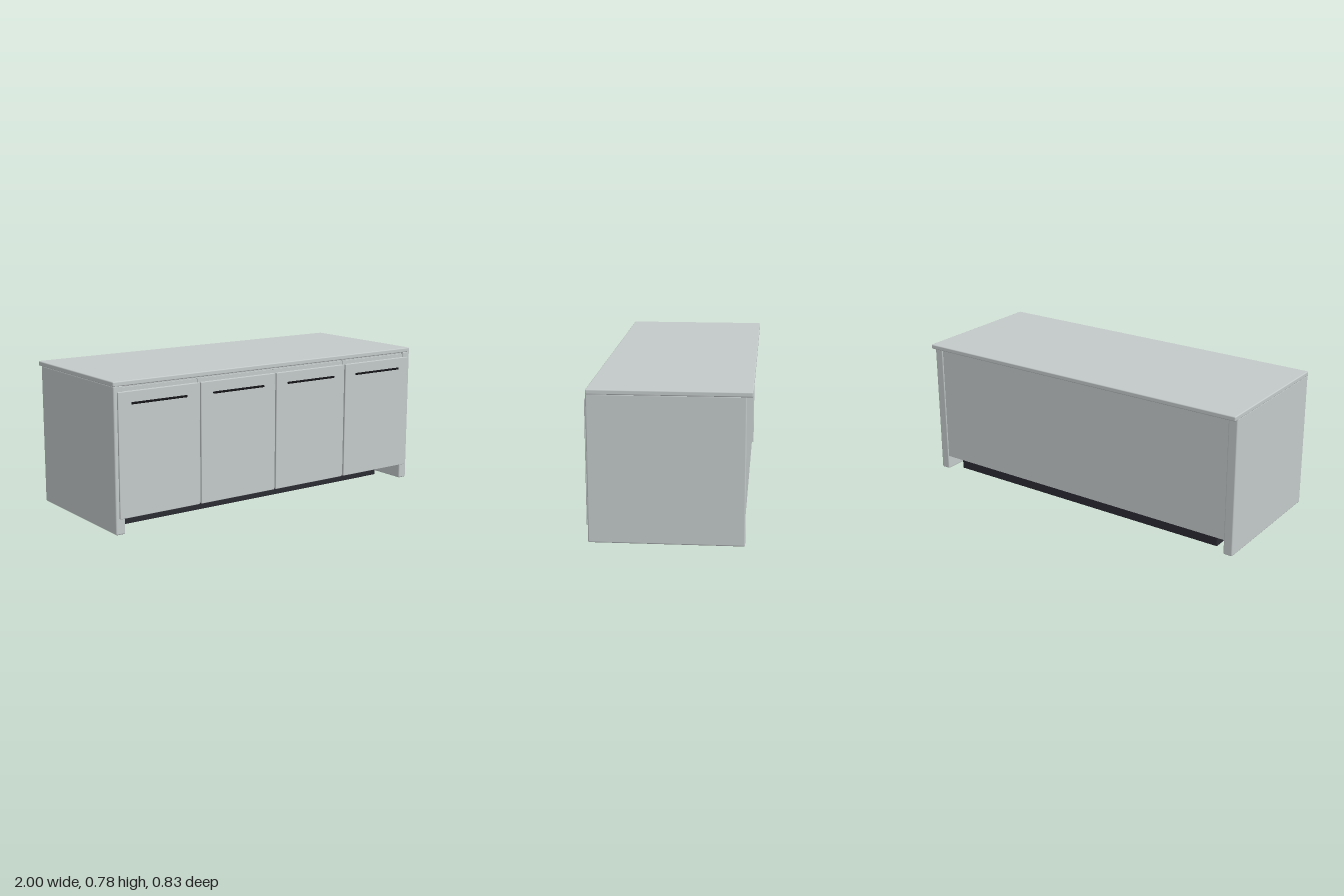
import * as THREE from 'three';
import { RoundedBoxGeometry } from 'three/addons/geometries/RoundedBoxGeometry.js';

const material = (name, color) => {
  const m = new THREE.MeshStandardMaterial({ color });
  m.name = name;
  return m;
};

export function createModel() {
  const model = new THREE.Group();
  model.name = 'sideboard';

  const grey = material('light grey laminate', 0xc3c9c9);
  const dark = material('dark plinth', 0x2a2a33);
  const black = material('black metal', 0x141418);

  // Box given by its limits on each axis, with an optional softened edge
  const box = (name, mat, [x0, x1], [y0, y1], [z0, z1], radius = 0) => {
    const size = [x1 - x0, y1 - y0, z1 - z0];
    const geometry = radius
      ? new RoundedBoxGeometry(...size, 2, radius)
      : new THREE.BoxGeometry(...size);
    const mesh = new THREE.Mesh(geometry, mat);
    mesh.name = name;
    mesh.position.set((x0 + x1) / 2, (y0 + y1) / 2, (z0 + z1) / 2);
    model.add(mesh);
  };

  // Worktop overhanging at the back
  box('worktop', grey, [-1, 1], [0.758, 0.784], [-0.413, 0.4], 0.006);

  // Side panels reaching the floor
  box('rightSidePanel', grey, [-0.998, -0.945], [0, 0.762], [-0.383, 0.4], 0.007);
  box('leftSidePanel', grey, [0.945, 0.998], [0, 0.762], [-0.383, 0.4], 0.007);

  // Cabinet body, back panel and front rail
  box('carcass', grey, [-0.95, 0.95], [0.085, 0.759], [-0.37, 0.385]);
  box('backPanel', grey, [-0.946, 0.946], [0.08, 0.75], [-0.378, -0.368]);
  box('frontRail', grey, [-0.946, 0.946], [0.725, 0.75], [0.383, 0.393]);

  // Recessed plinth
  box('plinth', dark, [-0.882, 0.877], [0.003, 0.087], [-0.335, 0.265], 0.006);

  // Four doors, each with a bar handle
  const width = 0.48, pitch = 0.4915;
  for (let i = 0; i < 4; i++) {
    const x = (i - 1.5) * pitch - 0.001;
    box('door' + (i + 1), grey, [x - width / 2, x + width / 2], [0.083, 0.731], [0.388, 0.409], 0.003);
    box('handle' + (i + 1), black, [x - 0.165, x + 0.165], [0.664, 0.675], [0.405, 0.417], 0.004);
  }

  // Dividers seen between the doors
  for (let i = -1; i <= 1; i++) {
    const x = i * pitch - 0.001;
    box('divider' + (i + 2), grey, [x - 0.009, x + 0.009], [0.09, 0.752], [0.38, 0.397]);
  }

  return model;
}
